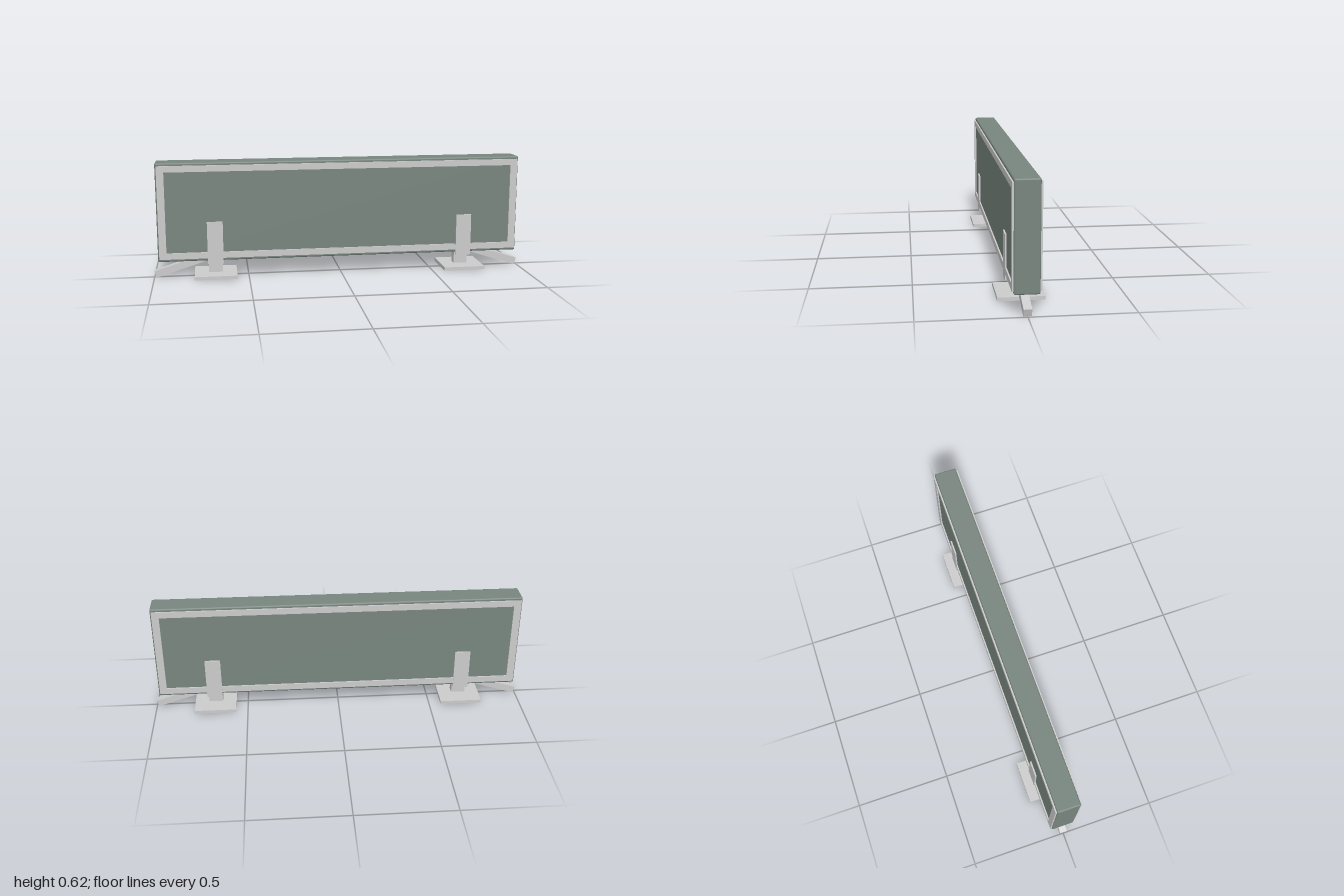
import * as THREE from 'three';
import { RoundedBoxGeometry } from 'three/addons/geometries/RoundedBoxGeometry.js';

const grey = new THREE.MeshStandardMaterial({ color: 0xcccccc });
const green = new THREE.MeshStandardMaterial({ color: 0x78857e });

function add(parent, name, geometry, material, x = 0, y = 0, z = 0) {
  const mesh = new THREE.Mesh(geometry, material);
  mesh.name = name;
  mesh.position.set(x, y, z);
  parent.add(mesh);
  return mesh;
}

function rectangle(PathType, halfWidth, halfHeight) {
  return new PathType([
    new THREE.Vector2(-halfWidth, -halfHeight),
    new THREE.Vector2(halfWidth, -halfHeight),
    new THREE.Vector2(halfWidth, halfHeight),
    new THREE.Vector2(-halfWidth, halfHeight),
  ]);
}

export function createModel() {
  const model = new THREE.Group();
  model.name = 'barrierBoard';
  const midY = 0.358;

  // Thick board with softened edges
  add(model, 'board', new RoundedBoxGeometry(1.95, 0.525, 0.121, 2, 0.008), green, 0, midY, 0);

  // Raised rectangular border on both faces
  const border = rectangle(THREE.Shape, 0.968, 0.248);
  border.holes.push(rectangle(THREE.Path, 0.93, 0.215));
  const borderGeometry = new THREE.ExtrudeGeometry(border, { depth: 0.01, bevelEnabled: false });
  add(model, 'frontBorder', borderGeometry, grey, 0, midY, 0.058);
  add(model, 'backBorder', borderGeometry, grey, 0, midY, -0.068);

  // Two mirrored stands
  for (const side of [1, -1]) {
    const stand = new THREE.Group();
    stand.name = side > 0 ? 'leftStand' : 'rightStand';
    model.add(stand);
    const x = side * 0.675;
    add(stand, 'footPlate', new THREE.BoxGeometry(0.225, 0.018, 0.226), grey, x, 0.013, 0);
    add(stand, 'post', new THREE.BoxGeometry(0.075, 0.09, 0.043), grey, x, 0.065, 0);

    // Clamp plates on the front and back of the board
    for (const face of [1, -1]) {
      add(stand, face > 0 ? 'frontClamp' : 'backClamp',
        new THREE.BoxGeometry(0.083, 0.225, 0.008), grey, x, 0.193, face * 0.0655);
    }

    // Sloping strut reaching outwards to the ground
    const strut = add(stand, 'strut', new THREE.BoxGeometry(0.3, 0.037, 0.039), grey, side * 0.851, 0.0645, 0);
    strut.rotation.z = -side * 0.305;
  }
  return model;
}
